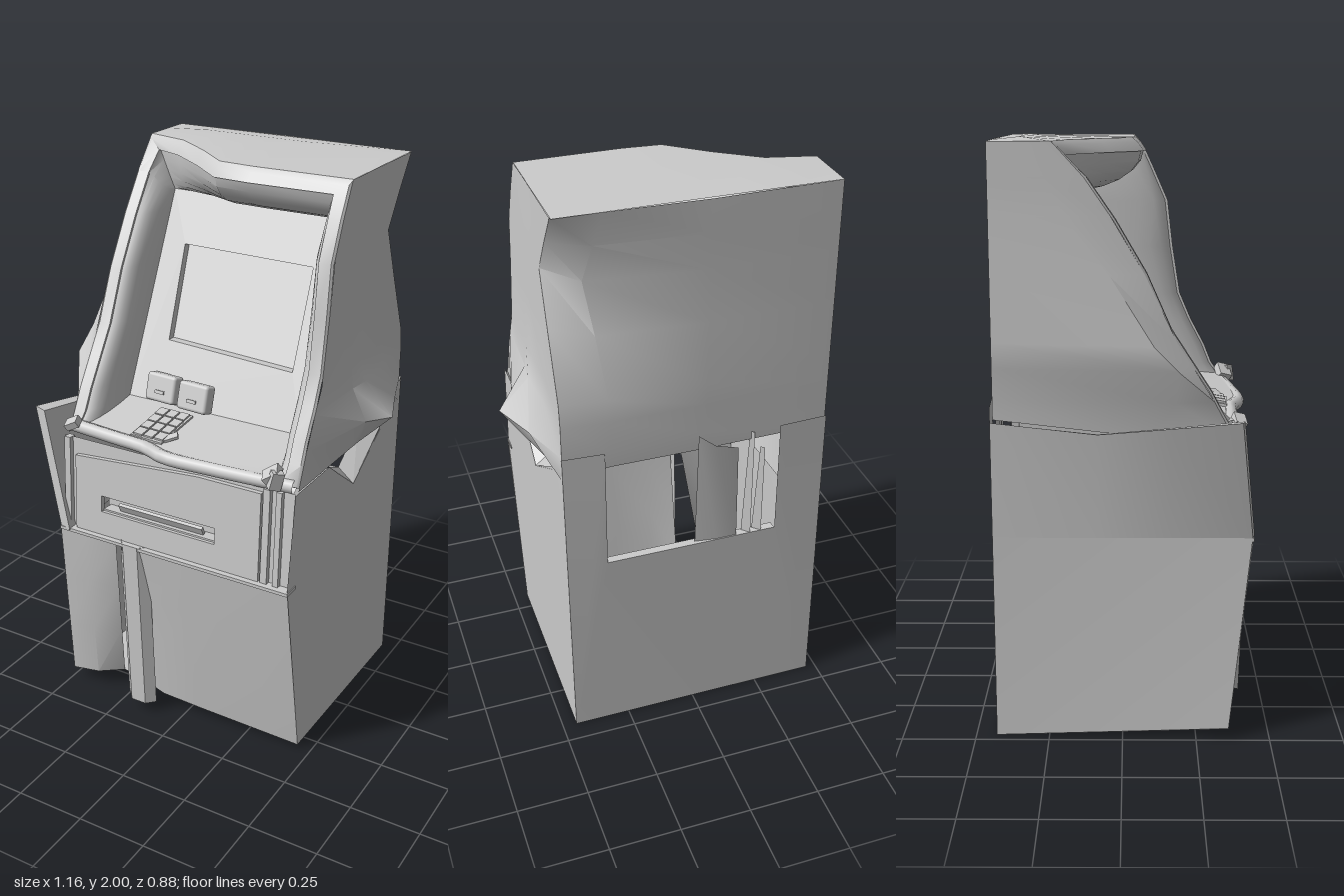
import * as THREE from 'three';
import { toCreasedNormals } from 'three/addons/utils/BufferGeometryUtils.js';
import { RoundedBoxGeometry } from 'three/addons/geometries/RoundedBoxGeometry.js';

const mat = new THREE.MeshStandardMaterial({ color: 0xcccccc, side: THREE.DoubleSide });
const lerp = THREE.MathUtils.lerp;
const clamp = THREE.MathUtils.clamp;

// Piecewise-linear lookup through [input, output] pairs
function along(pairs, t) {
  for (let i = 1; i < pairs.length; i++) {
    const [a, va] = pairs[i - 1], [b, vb] = pairs[i];
    if (t <= b) return lerp(va, vb, clamp((t - a) / (b - a), 0, 1));
  }
  return pairs[pairs.length - 1][1];
}

export function createModel() {
  const model = new THREE.Group();

  const add = (name, geo, x = 0, y = 0, z = 0, rx = 0, ry = 0, rz = 0) => {
    const m = new THREE.Mesh(geo, mat);
    m.name = name;
    m.position.set(x, y, z);
    m.rotation.set(rx, ry, rz);
    model.add(m);
    return m;
  };
  const box = (name, w, h, d, ...place) => add(name, new THREE.BoxGeometry(w, h, d), ...place);

  // Surface lofted through rows of points
  const sheet = (name, rows, closed = false, crease = 0.6) => {
    const n = rows[0].length, index = [];
    for (let r = 0; r + 1 < rows.length; r++)
      for (let c = 0; c < (closed ? n : n - 1); c++) {
        const a = r * n + c, b = r * n + (c + 1) % n;
        index.push(a, b, b + n, a, b + n, a + n);
      }
    const g = new THREE.BufferGeometry();
    g.setAttribute('position', new THREE.Float32BufferAttribute(rows.flat(2), 3));
    g.setIndex(index);
    return add(name, toCreasedNormals(g, crease));
  };

  // Flat outline moved into place by a rule (u, v) -> [x, y, z]
  const v2 = pts => pts.map(p => new THREE.Vector2(...p));
  const plate = (name, pts, rule, holes = []) => {
    const s = new THREE.Shape(v2(pts));
    holes.forEach(h => s.holes.push(new THREE.Path(v2(h))));
    const g = new THREE.ShapeGeometry(s), p = g.attributes.position;
    for (let i = 0; i < p.count; i++) p.setXYZ(i, ...rule(p.getX(i), p.getY(i)));
    g.computeVertexNormals();
    return add(name, g);
  };

  // Cabinet sides, outlines in (z, y); the left one is torn open at the top
  plate('cabinetLeftSide', [[-0.43, 0], [0.31, 0.01], [0.43, 0.71], [0.39, 1.05], [0.15, 1.05],
    [-0.05, 0.9], [-0.28, 1.05], [-0.43, 1.17]], (z, y) => [0.45 + 0.01 * Math.min(y, 1), y, z]);
  plate('cabinetRightSide', [[-0.43, 0], [0.36, 0.04], [0.43, 0.71], [-0.43, 0.71]],
    (z, y) => [lerp(z > 0 ? -0.495 : -0.465, -0.46, y / 0.71), y, z]);
  sheet('tornEdge', [
    [[0.46, 1.05, 0.15], [0.46, 0.9, -0.05], [0.46, 1.05, -0.3]],
    [[0.4, 1.03, 0.1], [0.4, 0.95, -0.05], [0.4, 1.05, -0.2]]], false, 0);

  // Upper right side, a thick panel bent outwards towards the front
  const low = [0.43, 0.15, -0.08, -0.43].map(z => [-0.46, 0.71, z]);
  const high = [[-0.58, 1.13, 0.38], [-0.54, 1.1, 0.15], [-0.495, 1.07, -0.08], [-0.46, 1.1, -0.43]];
  const inward = pts => pts.map(([x, y, z], i) => [x + 0.045 - i * 0.01, y - 0.005, z + 0.01 * (i === 0)]);
  sheet('peeledPanel', [low, high, inward(high), inward(low)]);
  sheet('peeledPanelEnd', [[low[0], high[0]], [inward(low)[0], inward(high)[0]]]);

  // Floor and buckled lower front
  const foot = [[-0.495, 0.04, 0.36], [-0.38, 0.06, 0.36], [-0.3, 0.06, 0.3], [-0.2, 0.05, 0.31],
    [-0.1, 0.045, 0.335], [0.05, 0.035, 0.33], [0.45, 0.01, 0.31]];
  sheet('floor', [foot, foot.map(([x], i) => [clamp(x, -0.465, 0.45), 0, i === 2 ? -0.42 : -0.43])]);
  const door = (name, pts, topXs) => sheet(name, [0, 0.33, 0.67, 1].map(t => pts.map(([x, y, z], i) =>
    [lerp(x, topXs[i], t), lerp(y, 0.705, t), lerp(z, 0.432, t)])));
  door('lowerDoorRight', foot.slice(0, 3), [-0.46, -0.35, -0.22]);
  door('lowerDoorLeft', foot.slice(3), [-0.2, -0.1, 0.05, 0.46]);
  box('doorLedge', 0.92, 0.012, 0.06, 0, 0.703, 0.405);
  sheet('hangingStrip', [0.04, 0.25, 0.5, 0.71].map(y => [-0.22, -0.19, -0.13, -0.1].map((x, i) =>
    [x, y + (i === 0 ? 0.02 : 0), (i % 3 ? 0.415 : 0.385) + 0.03 * y])));

  // Back wall with a torn window and hanging scraps
  plate('backWall', [[-0.465, 0], [0.45, 0], [0.46, 1.17], [0.32, 1.17], [0.32, 0.72], [-0.29, 0.72],
    [-0.29, 1.15], [-0.46, 1.15]], (x, y) => [x, y, Math.abs(x) < 0.4 && y > 0.5 ? -0.438 : -0.43]);
  box('windowSill', 0.61, 0.015, 0.03, 0.015, 0.715, -0.42);
  box('windowPost', 0.015, 0.44, 0.03, 0.325, 0.94, -0.42);
  sheet('backScrap', [[[-0.15, 0.7, -0.43], [-0.08, 0.7, -0.43], [0, 0.72, -0.42]],
    [[-0.15, 1.08, -0.42], [-0.06, 1.12, -0.44], [0, 1.17, -0.44]]]);
  for (const [x, h] of [[-0.2, 0.42], [-0.24, 0.35]])
    plate('backSplinter', [[0, 0], [0.025, 0], [0.012, h], [0, h]], (u, v) => [x + u, 0.72 + v, -0.435 + u]);

  // Hood front edges: depth by height on each side, by width at the roof and the lip
  const edgeL = y => along([[1.05, 0.36], [1.2, 0.3], [1.36, 0.215], [1.45, 0.19], [1.75, 0.155],
    [1.93, 0.075], [1.99, 0.04]], y);
  const edgeR = y => along([[1.05, 0.36], [1.2, 0.28], [1.4, 0.15], [1.58, 0.07], [1.75, -0.03],
    [1.88, -0.12], [1.99, -0.22]], y);
  const roofZ = x => along([[-0.46, -0.22], [-0.3, -0.18], [-0.16, -0.08], [-0.03, 0.03], [0.1, 0.04],
    [0.45, 0.035]], x);
  const lipZ = x => along([[-0.45, 0.35], [-0.12, 0.37], [-0.03, 0.4], [0.1, 0.395], [0.45, 0.355]], x);

  // Hood shell: right bulge, left spike and crushed back corner
  const shell = [ // y, right bulge x, z, back x, z, corner z, left side x
    [1.05, -0.46, 0.1, 0.3, -0.43, -0.42, 0.46],
    [1.17, -0.48, 0.17, 0.3, -0.435, -0.42, 0.58],
    [1.28, -0.53, 0.18, 0.3, -0.43, -0.42, 0.475],
    [1.36, -0.52, 0.1, 0.3, -0.43, -0.41, 0.457],
    [1.58, -0.493, -0.04, 0.33, -0.402, -0.32, 0.457],
    [1.76, -0.47, -0.18, 0.36, -0.38, -0.25, 0.457],
    [1.88, -0.465, -0.24, 0.33, -0.4, -0.33, 0.456],
    [1.99, -0.46, -0.3, 0.3, -0.42, -0.41, 0.455]];
  sheet('hoodShell', shell.map(([y, bulgeX, bulgeZ, backX, backZ, cornerZ, sideX]) => {
    const backY = Math.max(y, 1.11);
    const spike = t => lerp(0.457, sideX, t);
    return [[-0.455, y, edgeR(y)], [bulgeX, y, bulgeZ], [-0.46, backY, -0.42], [-0.03, backY, -0.43],
      [backX, backY, backZ], [0.457, Math.max(y, 1.08), cornerZ], [spike(0.5), y, -0.24],
      [spike(1), y, -0.08], [spike(0.5), y, 0], [0.455, y, edgeL(y)]];
  }), false, 0.65);
  const roofXs = [-0.46, -0.3, -0.16, -0.03, 0.1, 0.455];
  sheet('roof', [roofXs.map(x => [x, 1.99, roofZ(x)]),
    roofXs.map(x => [x, Math.abs(x) < 0.35 ? 2 : 1.99, -0.33]), roofXs.map(x => [x, 1.99, -0.42])]);

  // Opening: outer edge loop, flat rim, then a rounded bolster down to the back panel
  const panelZ = y => 0.13 - 0.48 * (y - 1.13);
  const ys = [1.06, 1.13, 1.2, 1.3, 1.4, 1.58, 1.75, 1.88];
  const loop = [
    ...ys.map(y => [-0.455, y, edgeR(y)]),
    ...roofXs.map(x => [x, 1.99, roofZ(x)]),
    ...ys.slice().reverse().map(y => [0.455, y, edgeL(y)]),
    ...[0.3, 0.1, -0.03, -0.12, -0.35].map(x => [x, 1.06, lipZ(x)])];
  // Insetting the rim at the top also carries it forward along the sloping edge
  const inset = (wide, bottom, top) => loop.map(([x, y, z]) =>
    [clamp(x, -wide, wide), clamp(y, bottom, top), z + 0.008 + 0.7 * Math.max(0, y - top)]);
  const rim = inset(0.405, 1.09, 1.945);
  const rings = [loop, inset(0.448, 1.065, 1.975), rim, rim.map(([x, y, z]) => [x, y, z - 0.01])];
  for (let k = 1; k <= 6; k++) {
    const across = Math.sin(k / 6 * Math.PI / 2), down = 1 - Math.cos(k / 6 * Math.PI / 2);
    rings.push(rim.map(([x, y, z]) => {
      const iy = clamp(y, 1.13, 1.81);
      return [lerp(x, clamp(x, -0.35, 0.34), across), lerp(y, iy, y < iy ? down : across),
        lerp(z - 0.01, panelZ(iy), down)];
    }));
  }
  sheet('hoodFrame', rings, true, 0.7);

  // Back panel of the recess with a sunken screen
  const screen = [[-0.26, 1.64], [0.25, 1.635], [0.26, 1.31], [-0.24, 1.33]];
  plate('recessPanel', [[-0.35, 1.13], [0.34, 1.13], [0.34, 1.81], [-0.35, 1.81]],
    (x, y) => [x, y, panelZ(y)], [screen]);
  plate('screen', screen, (x, y) => [x, y, panelZ(y) - 0.03]);
  sheet('screenEdge', [0, 0.03].map(d => screen.map(([x, y]) => [x, y, panelZ(y) - d])), true, 0);

  // Twin dispensers and keypad
  for (const [x, z] of [[-0.205, 0.125], [-0.065, 0.14]]) {
    add('dispenser', new RoundedBoxGeometry(0.13, 0.1, 0.05, 3, 0.012), x, 1.185, z, -0.3, -0.15);
    box('dispenserSlot', 0.04, 0.012, 0.015, x, 1.178, z + 0.026, -0.3, -0.15);
  }
  box('keypad', 0.13, 0.016, 0.19, -0.125, 1.108, 0.265, 0.16, -0.05);
  for (let r = 0; r < 4; r++)
    for (let c = 0; c < 3; c++)
      box('key', 0.036, 0.01, 0.04, -0.167 + c * 0.042, 1.128 - r * 0.007, 0.198 + r * 0.045, 0.16, -0.05);
  box('looseChip', 0.05, 0.01, 0.03, -0.05, 1.11, 0.325, 0.2, 0.6, 0.2);

  // Crumpled front lip and broken corner pieces
  const lip = new THREE.CatmullRomCurve3([-0.44, -0.25, -0.12, -0.03, 0.15, 0.44].map(x =>
    new THREE.Vector3(x, 1.073 - 0.02 * x, lipZ(x) + 0.004)));
  add('frontLip', new THREE.TubeGeometry(lip, 20, 0.024, 8));
  box('brokenPiece', 0.06, 0.03, 0.05, 0.37, 1.1, 0.38, 0.3, 0.4, 0.5);
  box('brokenPiece', 0.04, 0.06, 0.03, 0.39, 1.09, 0.395, 0.1, 0.8, -0.3);
  box('brokenPiece', 0.05, 0.025, 0.04, -0.42, 1.1, 0.38, 0.3, 0.3, 0.4);

  // Upper front: backing, raised panel with a slot, side bars
  const front = new THREE.Group();
  front.name = 'upperFront';
  front.position.set(0, 0.71, 0.4);
  front.rotation.x = -0.06;
  model.add(front);
  const slot = [[-0.29, 0.09], [0.17, 0.09], [0.17, 0.15], [-0.29, 0.15]];
  front.add(plate('frontBacking', [[-0.455, 0], [0.455, 0], [0.455, 0.34], [-0.455, 0.34]],
    (x, y) => [x, y, 0], [slot]));
  const raised = new THREE.Shape(v2([[-0.4, 0], [0.34, 0], [0.34, 0.32], [0.1, 0.32], [-0.4, 0.28]]));
  raised.holes.push(new THREE.Path(v2(slot)));
  front.add(add('frontPanel', new THREE.ExtrudeGeometry(raised, { depth: 0.018, bevelEnabled: false })));
  front.add(box('slotBack', 0.48, 0.08, 0.01, -0.06, 0.12, -0.045));
  front.add(box('slotShelf', 0.46, 0.008, 0.05, -0.06, 0.092, -0.02));
  front.add(box('slotFlap', 0.34, 0.03, 0.012, -0.06, 0.112, -0.01, 0.5));
  for (const [x, w] of [[0.36, 0.025], [0.405, 0.02], [-0.435, 0.025]])
    front.add(box('sideBar', w, 0.34, 0.03, x, 0.17, 0.003));
  return model;
}
